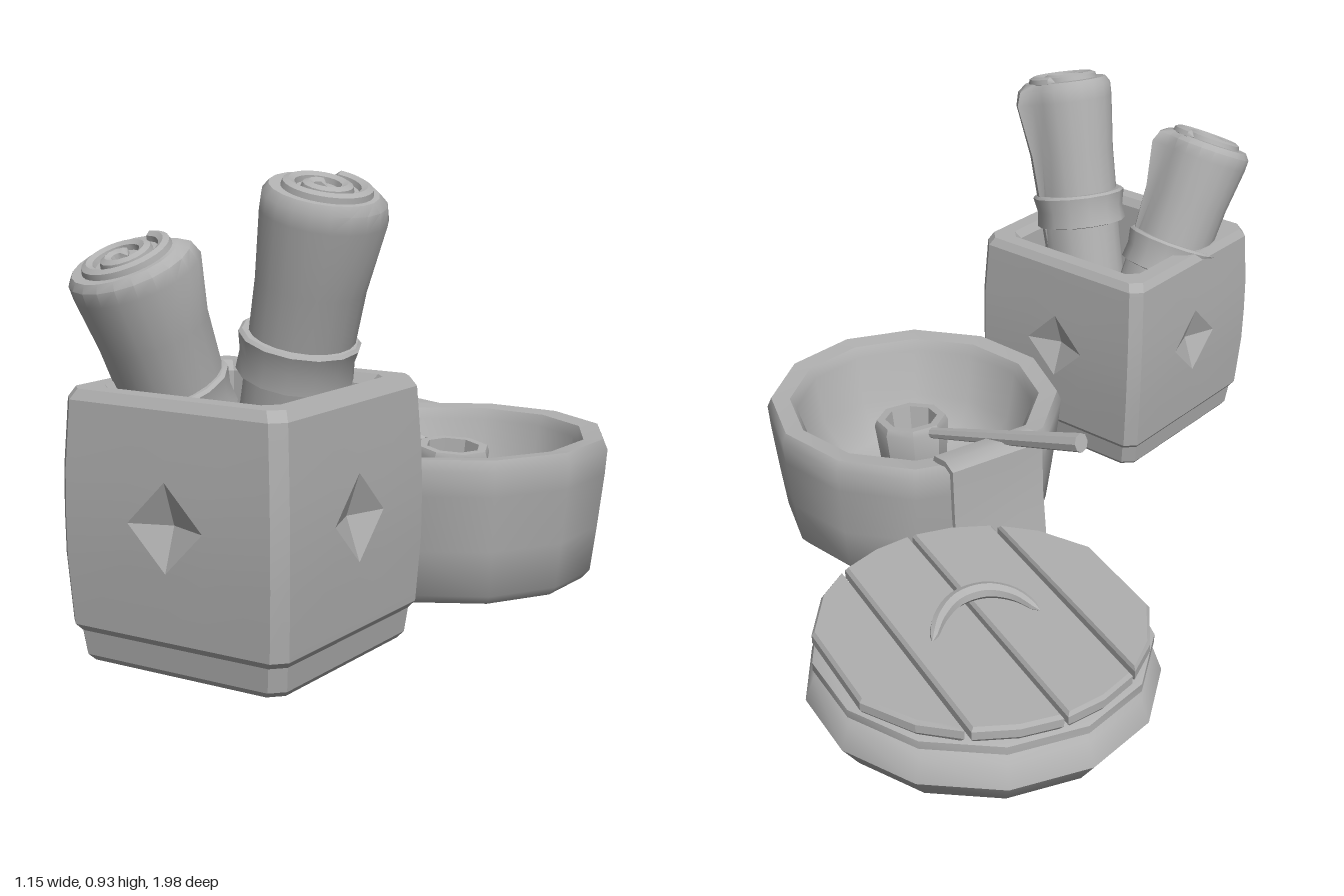
import * as THREE from 'three';
import { toCreasedNormals } from 'three/addons/utils/BufferGeometryUtils.js';

const V = (x, y, z) => new THREE.Vector3(x, y, z);

// Skin over closed rings of points, bottom to top, capped at both ends.
function loft(rings, flip = () => false) {
  const n = rings[0].length, pos = [], index = [];
  const mid = (r) => r.reduce((s, p) => s.add(p), V(0, 0, 0)).divideScalar(n);
  rings.forEach((r) => r.forEach((p) => pos.push(p.x, p.y, p.z)));
  const last = rings.length - 1, c0 = n * rings.length;
  [mid(rings[0]), mid(rings[last])].forEach((p) => pos.push(p.x, p.y, p.z));
  for (let i = 0; i < n; i++) {
    const k = (i + 1) % n;
    for (let j = 0; j < last; j++) {
      const a = j * n + i, b = j * n + k, c = b + n, d = a + n;
      if (flip(j, i)) index.push(a, b, d, b, c, d);
      else index.push(a, b, c, a, c, d);
    }
    index.push(c0, k, i, c0 + 1, last * n + i, last * n + k);
  }
  const g = new THREE.BufferGeometry();
  g.setAttribute('position', new THREE.Float32BufferAttribute(pos, 3));
  g.setIndex(index);
  return g;
}

const lathe = (pts, sides) =>
  new THREE.LatheGeometry(pts.map(([x, y]) => new THREE.Vector2(x, y)), sides);

// Tube along a curve whose thickness follows a rule
function taperedTube(points, radius, taper, steps = 20) {
  const curve = new THREE.CatmullRomCurve3(points);
  const g = new THREE.TubeGeometry(curve, steps, radius, 7);
  const p = g.attributes.position, v = V(0, 0, 0);
  for (let i = 0; i < p.count; i++) {
    const t = Math.floor(i / 8) / steps, c = curve.getPointAt(t);
    v.fromBufferAttribute(p, i).sub(c).multiplyScalar(taper(t)).add(c);
    p.setXYZ(i, v.x, v.y, v.z);
  }
  return g;
}

export function createModel() {
  const clay = new THREE.MeshStandardMaterial({ color: 0xb0b0b0 });
  clay.name = 'grey clay';
  const root = new THREE.Group();
  root.name = 'storageSet';

  const group = (name, x, y, z) => {
    const g = new THREE.Group();
    g.name = name;
    g.position.set(x, y, z);
    root.add(g);
    return g;
  };
  const add = (parent, name, geo, crease = 0.7) => {
    const m = new THREE.Mesh(toCreasedNormals(geo, crease), clay);
    m.name = name;
    parent.add(m);
    return m;
  };
  const align = (obj, a, b) =>
    obj.quaternion.setFromUnitVectors(V(0, 1, 0), b.clone().sub(a).normalize());

  // Square box: chamfered corners, a sunken diamond on each side, hollow top
  const box = group('scrollBox', -0.23, 0, 0.645);
  box.rotation.y = -0.6;
  const squareRing = (y, h, sink = 0) => {
    const ring = [], e = h - 0.025, w = 0.085;
    for (let k = 0; k < 4; k++)
      for (const u of [-e, -w, 0, w, e])
        ring.push(V(u, y, u === 0 ? h - sink : h).applyAxisAngle(V(0, 1, 0), k * Math.PI / 2));
    return ring;
  };
  add(box, 'boxBody', loft([
    squareRing(0.06, 0.238), squareRing(0.073, 0.248), squareRing(0.205, 0.256),
    squareRing(0.29, 0.257, 0.03), squareRing(0.375, 0.256), squareRing(0.505, 0.249),
    squareRing(0.525, 0.238), squareRing(0.525, 0.2), squareRing(0.505, 0.188),
    squareRing(0.1, 0.18),
  ], (j, i) => (j === 2 && i % 5 === 1) || (j === 3 && i % 5 === 2)), 0.3);
  add(box, 'boxBase', loft([squareRing(0, 0.222), squareRing(0.012, 0.232),
    squareRing(0.062, 0.238)]), 0.3);

  // Rolled scrolls with a loose outer edge, a spiral end and a wrapped band
  const scroll = (a, b, r, bandAt, turn) => {
    const g = group('scroll', a.x, a.y, a.z), len = a.distanceTo(b), n = 20;
    align(g, a, b);
    const roll = new THREE.Group();
    roll.name = 'scrollRoll';
    roll.rotation.y = turn;
    g.add(roll);
    const ring = ([f, s, amp]) => Array.from({ length: n }, (_, i) => {
      const t = i / (n - 1), q = t * Math.PI * 2 * 0.97;
      const R = r * (s + amp * t ** 5);
      return V(R * Math.cos(q), f * len, -R * Math.sin(q));
    });
    add(roll, 'scrollPaper', loft([[0, 0.9, 0.02], [0.5, 0.9, 0.05], [0.78, 0.94, 0.16],
      [0.94, 1.03, 0.3], [0.98, 1.03, 0.2], [1, 0.93, 0.1]].map(ring)));
    const spiral = Array.from({ length: 26 }, (_, i) => {
      const t = i / 25, R = r * (0.12 + 0.72 * t), q = t * Math.PI * 4.2;
      return V(R * Math.cos(q), len + 0.002, -R * Math.sin(q));
    });
    add(roll, 'scrollSpiral', taperedTube(spiral, 0.014, (t) => (t === 0 || t === 1 ? 0.01 : 1), 48));
    const y = bandAt * len, h = 0.085;
    add(g, 'scrollBand', lathe([[r * 0.9, y], [r * 1.06, y + 0.004], [r * 1.03, y + h * 0.5],
      [r * 1.1, y + h - 0.006], [r * 1.04, y + h], [r * 0.9, y + h]], 14)).rotation.y = 0.3;
  };
  scroll(V(-0.2, 0.1, 0.55), V(-0.085, 0.895, 0.745), 0.107, 0.55, 0.7);
  scroll(V(-0.25, 0.12, 0.5), V(-0.455, 0.762, 0.69), 0.107, 0.5, 0.4);

  // Round bowl with thick walls
  const bowl = group('bowl', 0.225, 0, 0.095);
  const bowlMesh = add(bowl, 'bowlBody', lathe([[0, 0], [0.3, 0], [0.318, 0.02], [0.332, 0.12],
    [0.347, 0.24], [0.352, 0.295], [0.342, 0.318], [0.298, 0.314], [0.283, 0.29],
    [0.265, 0.17], [0.2, 0.09], [0, 0.07]], 12), 0.9);
  bowlMesh.rotation.y = 0.15;

  // Cloth folded over the rim of the bowl
  const fold = [[0.385, 0.07], [0.368, 0.2], [0.362, 0.325], [0.33, 0.338], [0.285, 0.33],
    [0.255, 0.26], [0.222, 0.12]];
  const inside = [[0.236, 0.12], [0.268, 0.255], [0.292, 0.315], [0.33, 0.324],
    [0.35, 0.315], [0.356, 0.2], [0.373, 0.07]];
  const clothShape = new THREE.Shape([...fold, ...inside].map(([x, y]) => new THREE.Vector2(x, y)));
  const clothGeo = new THREE.ExtrudeGeometry(clothShape, { depth: 0.24, bevelEnabled: false });
  clothGeo.translate(0, 0, -0.12);
  add(bowl, 'cloth', clothGeo).rotation.y = 2.26;

  // Ladle: open cup and straight handle
  const cup = add(root, 'ladleCup', lathe([[0, 0], [0.06, 0], [0.078, 0.05], [0.088, 0.15],
    [0.082, 0.165], [0.062, 0.165], [0.05, 0.03], [0, 0.025]], 8));
  cup.position.set(0.22, 0.11, 0.05);
  cup.rotation.set(0.08, 0.2, -0.06);
  const h0 = V(0.17, 0.27, 0.0), h1 = V(-0.193, 0.41, -0.245);
  const handle = add(root, 'ladleHandle',
    new THREE.CylinderGeometry(0.022, 0.013, h0.distanceTo(h1), 8));
  handle.position.copy(h0).lerp(h1, 0.5);
  align(handle, h0, h1);

  // Low covered pot
  const pot = group('coveredPot', -0.02, 0, -0.64);
  const potBody = add(pot, 'potBody', lathe([[0, 0], [0.26, 0], [0.33, 0.03], [0.37, 0.085],
    [0.352, 0.135], [0.33, 0.147], [0.352, 0.157], [0.352, 0.175], [0.325, 0.187],
    [0, 0.187]], 13), 0.9);
  potBody.scale.z = 0.975;

  // Lid of four planks cut to a circle
  const lid = new THREE.Group();
  lid.name = 'plankLid';
  lid.rotation.y = 0.59;
  lid.position.y = 0.195;
  pot.add(lid);
  [[-0.325, -0.184], [-0.176, -0.004], [0.004, 0.176], [0.184, 0.325]].forEach(([a, b]) => {
    const us = [a + 0.006, (a + b) / 2, b - 0.006];
    const edge = (u) => Math.sqrt(0.342 ** 2 - u * u) - 0.006;
    const pts = [...us.map((u) => new THREE.Vector2(u, -edge(u))),
      ...us.reverse().map((u) => new THREE.Vector2(u, edge(u)))];
    const g = new THREE.ExtrudeGeometry(new THREE.Shape(pts), { depth: 0.018,
      bevelThickness: 0.008, bevelSize: 0.006, bevelSegments: 1 });
    add(lid, 'plank', g.rotateX(-Math.PI / 2), 0.3);
  });

  // Curved lid handle
  add(pot, 'lidHandle', taperedTube([V(-0.115, 0.222, 0.035), V(-0.06, 0.234, 0.068),
    V(0, 0.238, 0.073), V(0.055, 0.236, 0.04), V(0.083, 0.231, -0.02), V(0.09, 0.222, -0.09)],
  0.018, (t) => 0.05 + 0.95 * Math.sin(Math.PI * t) ** 0.4));

  return root;
}
